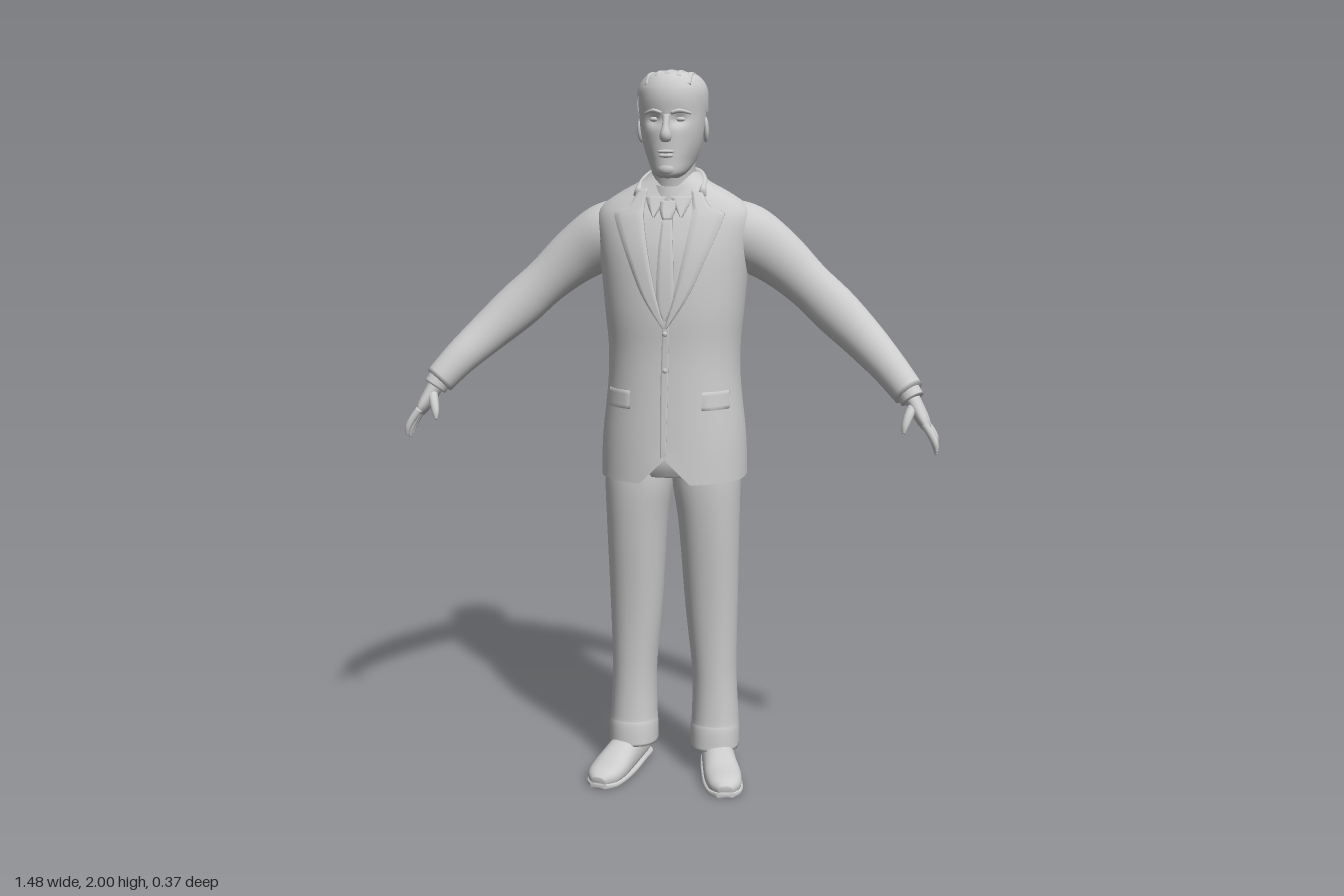
import * as THREE from 'three';

const clay = new THREE.MeshStandardMaterial({ color: 0xcccccc, side: THREE.DoubleSide });
clay.name = 'light grey';
const V = (x, y, z) => new THREE.Vector3(x, y, z);
const pw = (v, n) => Math.sign(v) * Math.abs(v) ** (2 / n);

// Catmull-Rom interpolation of every column in a list of rows
function smooth(rows, k) {
  const out = [], at = i => rows[Math.max(0, Math.min(rows.length - 1, i))];
  for (let i = 0; i < rows.length - 1; i++) for (let j = 0; j < k; j++) {
    const t = j / k, a = at(i - 1), b = at(i), c = at(i + 1), d = at(i + 2);
    out.push(b.map((v, q) => v + 0.5 * t * (c[q] - a[q] + t * (2 * a[q] - 5 * v + 4 * c[q] - d[q] + t * (3 * (v - c[q]) + d[q] - a[q])))));
  }
  out.push(rows[rows.length - 1]);
  return out;
}

// Skin closed rings of points, with optional caps; faces are turned outward
function skin(rings, capStart = true, capEnd = true) {
  const n = rings[0].length, pts = rings.flat(), idx = [];
  for (let i = 0; i < rings.length - 1; i++) for (let j = 0; j < n; j++) {
    const a = i * n + j, b = i * n + (j + 1) % n;
    idx.push(a, b, a + n, b, b + n, a + n);
  }
  const cap = (i, flip) => {
    const c = pts.length;
    pts.push(rings[i].reduce((s, p) => s.add(p), V(0, 0, 0)).divideScalar(n));
    for (let j = 0; j < n; j++) {
      const a = i * n + j, b = i * n + (j + 1) % n;
      idx.push(c, flip ? b : a, flip ? a : b);
    }
  };
  if (capStart) cap(0, true);
  if (capEnd) cap(rings.length - 1, false);
  const mid = pts.reduce((s, p) => s.add(p), V(0, 0, 0)).divideScalar(pts.length);
  let vol = 0;
  for (let i = 0; i < idx.length; i += 3) {
    const [a, b, c] = [0, 1, 2].map(q => pts[idx[i + q]].clone().sub(mid));
    vol += a.dot(b.cross(c));
  }
  if (vol < 0) idx.reverse();
  const g = new THREE.BufferGeometry().setFromPoints(pts);
  g.setIndex(idx);
  g.computeVertexNormals();
  return g;
}

// Sweep an oval along rows of [x, y, z, radiusU, radiusV]
function sweep(rows, { s = 1, ref = V(0, 0, 1), seg = 24, n = 2, floor = -1 } = {}) {
  const r = smooth(rows.map(([x, ...q]) => [x * s, ...q]), 5), P = r.map(p => V(p[0], p[1], p[2]));
  return skin(r.map((p, i) => {
    const t = P[Math.min(i + 1, r.length - 1)].clone().sub(P[Math.max(i - 1, 0)]).normalize();
    const u = t.clone().cross(ref).normalize(), v = u.clone().cross(t);
    return Array.from({ length: seg }, (_, j) => {
      const a = j / seg * Math.PI * 2;
      const q = P[i].clone().addScaledVector(u, p[3] * pw(Math.cos(a), n)).addScaledVector(v, p[4] * pw(Math.sin(a), n));
      q.y = Math.max(q.y, floor);
      return q;
    });
  }));
}

// Horizontal sections: [y, half width, front z, back z] about a centre z
const body = (rows, cz, n) => ({ rows: smooth(rows, 5), cz, n });
function section(b, y) {
  const R = b.rows;
  let i = 0;
  while (i < R.length - 2 && R[i + 1][0] < y) i++;
  const t = THREE.MathUtils.clamp((y - R[i][0]) / (R[i + 1][0] - R[i][0]), 0, 1);
  return R[i].map((v, q) => v + (R[i + 1][q] - v) * t);
}
function around(b, [y, rx, zf, zb], a, off = 0) {
  const c = pw(Math.cos(a), b.n), d = pw(Math.sin(a), b.n), cz = Math.max(b.cz, zb + 0.3 * (zf - zb));
  return V((rx + off) * c, y, cz + d * ((d > 0 ? zf - cz : cz - zb) + off));
}
const ring = (b, row, seg) => Array.from({ length: seg }, (_, j) => around(b, row, j / seg * Math.PI * 2));
function frontZ(b, x, y) {
  const [, rx, zf] = section(b, y);
  return b.cz + (zf - b.cz) * Math.max(0, 1 - Math.abs(x / rx) ** b.n) ** (1 / b.n);
}

const coat = body([
  [0.885, 0.207, 0.13, -0.175], [1.0, 0.203, 0.125, -0.165], [1.15, 0.187, 0.117, -0.157],
  [1.25, 0.185, 0.114, -0.16], [1.35, 0.194, 0.117, -0.172], [1.45, 0.203, 0.112, -0.182],
  [1.53, 0.212, 0.1, -0.184], [1.6, 0.218, 0.078, -0.175], [1.64, 0.2, 0.06, -0.162],
  [1.675, 0.15, 0.045, -0.145], [1.705, 0.095, 0.035, -0.128], [1.73, 0.066, 0.025, -0.112]], -0.05, 2.3);
const skull = body([
  [1.714, 0.024, 0.088, 0.03], [1.728, 0.045, 0.1, 0.0], [1.76, 0.064, 0.101, -0.06], [1.8, 0.078, 0.1, -0.1],
  [1.84, 0.086, 0.1, -0.115], [1.88, 0.09, 0.096, -0.123], [1.92, 0.092, 0.099, -0.124], [1.95, 0.089, 0.094, -0.119],
  [1.974, 0.075, 0.08, -0.103], [1.987, 0.055, 0.062, -0.082], [1.994, 0.02, 0.025, -0.04]], -0.015, 2.1);

// Thin plate lying on the coat front: rows of [y, x0, x1]
function plate(rows, s, off) {
  return skin(smooth(rows, 4).map(([y, x0, x1]) => {
    const xs = [0, 1, 2, 3, 4].map(i => s * (x0 + (x1 - x0) * i / 4));
    const side = o => xs.map(x => V(x, y, frontZ(coat, x, y) + o));
    return [...side(off), ...side(-0.001).reverse()];
  }));
}

export function createModel() {
  const root = new THREE.Group();
  const add = (name, geo, pos = [0, 0, 0], scale = [1, 1, 1], rot = [0, 0, 0]) => {
    const m = new THREE.Mesh(geo, clay);
    m.name = name;
    m.position.set(...pos);
    m.scale.set(...scale);
    m.rotation.set(...rot);
    root.add(m);
  };
  const ball = new THREE.SphereGeometry(1, 20, 14);

  // Jacket, with the front hem cut away at the opening
  const jacketRings = coat.rows.map(r => ring(coat, r, 64).map(p => {
    if (p.z > 0 && p.y < 0.98) p.y += 0.07 * Math.max(0, 1 - Math.abs(p.x) / 0.07) * (0.98 - p.y) / 0.095;
    else if (p.y < 0.9) p.y += 0.012 * Math.max(0, -p.z / 0.17);
    return p;
  }));
  add('jacket', skin(jacketRings, false, true));
  add('jacketOverlap', plate([[0.96, -0.012, 0.004], [1.15, -0.012, 0.008], [1.33, -0.006, 0.012]], 1, 0.003));
  for (const y of [1.3, 1.2]) add('jacketButton', ball, [0, y, frontZ(coat, 0, y) + 0.003], [0.007, 0.007, 0.004]);

  // Neck, shirt collar, jacket collar and tie
  add('neck', sweep([[0, 1.62, -0.035, 0.066, 0.07], [0, 1.7, -0.028, 0.06, 0.072], [0, 1.76, -0.02, 0.06, 0.075], [0, 1.82, -0.015, 0.06, 0.075]]));
  const band = (y, r, lift) => Array.from({ length: 40 }, (_, j) => {
    const a = j / 40 * Math.PI * 2;
    return V(r * Math.cos(a), y - lift * Math.sin(a), -0.03 + (r + 0.014) * Math.sin(a));
  });
  add('shirtCollar', skin([band(1.65, 0.074, 0.03), band(1.715, 0.066, 0.025), band(1.716, 0.06, 0.025)], false, false));
  const collar = [[0.088, 1.665, 0.035], [0.083, 1.695, -0.035], [0.056, 1.718, -0.088], [0, 1.724, -0.11]];
  const collarPath = [...collar, ...collar.slice(0, 3).reverse().map(([x, y, z]) => [-x, y, z])];
  add('jacketCollar', sweep(collarPath.map(p => [...p, 0.012, 0.022]), { ref: V(0, 1, 0) }));
  add('tie', plate([[1.335, 0, 0.001], [1.38, -0.022, 0.022], [1.5, -0.021, 0.021], [1.61, -0.013, 0.013]], 1, 0.006));
  add('tieKnot', plate([[1.605, -0.012, 0.012], [1.63, -0.021, 0.021], [1.655, -0.02, 0.02]], 1, 0.013));

  // Trouser seat
  add('trouserSeat', sweep([[0, 0.895, -0.015, 0.12, 0.1], [0, 0.94, -0.015, 0.17, 0.115], [0, 1.02, -0.015, 0.17, 0.11]], { n: 2.4 }));

  for (const s of [1, -1]) {
    const side = s > 0 ? 'left' : 'right';
    add(side + 'Lapel', plate([[1.315, 0, 0.006], [1.4, 0.024, 0.062], [1.5, 0.046, 0.106], [1.6, 0.064, 0.146], [1.625, 0.066, 0.146], [1.64, 0.066, 0.11], [1.685, 0.06, 0.085]], s, 0.008));
    add(side + 'CollarPoint', plate([[1.61, 0.036, 0.04], [1.64, 0.018, 0.055], [1.665, 0.006, 0.064]], s, 0.009));
    add(side + 'PocketFlap', plate([[1.09, 0.1, 0.168], [1.14, 0.1, 0.168]], s, 0.006));

    // Sleeve and shirt cuff
    add(side + 'Sleeve', sweep([
      [0.13, 1.575, -0.07, 0.085, 0.085], [0.2, 1.55, -0.072, 0.092, 0.088], [0.285, 1.497, -0.068, 0.079, 0.068],
      [0.37, 1.425, -0.058, 0.066, 0.056], [0.45, 1.353, -0.042, 0.066, 0.056], [0.53, 1.28, -0.008, 0.058, 0.052],
      [0.6, 1.212, 0.04, 0.049, 0.046], [0.655, 1.15, 0.073, 0.043, 0.044]], { s, seg: 32 }));
    add(side + 'Cuff', sweep([[0.645, 1.165, 0.068, 0.034, 0.037], [0.665, 1.133, 0.08, 0.033, 0.036]], { s }));

    // Hand
    add(side + 'Palm', sweep([[0.655, 1.15, 0.074, 0.022, 0.028], [0.675, 1.115, 0.083, 0.021, 0.033], [0.695, 1.08, 0.09, 0.018, 0.038], [0.705, 1.06, 0.094, 0.012, 0.034]], { s }));
    for (let i = 0; i < 4; i++) {
      const z = 0.064 + i * 0.02, d = [0.018, 0.004, 0, 0.01][i];
      add(side + 'Finger', sweep([
        [0.698, 1.075, z, 0.01, 0.01], [0.718, 1.042 + d * 0.4, z + i * 0.002, 0.01, 0.0095],
        [0.729, 1.015 + d * 0.8, z + i * 0.003, 0.0085, 0.0085], [0.732, 0.992 + d, z + i * 0.003, 0.004, 0.004]], { s, seg: 12 }));
    }
    add(side + 'Thumb', sweep([[0.668, 1.12, 0.095, 0.014, 0.014], [0.656, 1.095, 0.118, 0.013, 0.013], [0.648, 1.07, 0.132, 0.01, 0.01], [0.645, 1.05, 0.138, 0.004, 0.004]], { s, seg: 12 }));

    // Trouser leg and shoe
    add(side + 'TrouserLeg', sweep([
      [0.096, 0.97, -0.017, 0.094, 0.105], [0.097, 0.88, -0.015, 0.096, 0.11], [0.104, 0.75, -0.02, 0.086, 0.103],
      [0.11, 0.5, -0.037, 0.075, 0.088], [0.118, 0.3, -0.045, 0.064, 0.081], [0.121, 0.16, -0.045, 0.068, 0.082],
      [0.121, 0.12, -0.041, 0.071, 0.084], [0.121, 0.07, -0.037, 0.071, 0.083]], { s, seg: 36, n: 2.2 }));
    const shoe = [
      [0.12, 0.035, -0.123, 0.025, 0.03], [0.123, 0.047, -0.1, 0.045, 0.048], [0.13, 0.052, -0.03, 0.046, 0.054],
      [0.146, 0.044, 0.04, 0.049, 0.046], [0.164, 0.032, 0.1, 0.053, 0.035], [0.177, 0.026, 0.152, 0.045, 0.028], [0.183, 0.02, 0.18, 0.02, 0.016]];
    add(side + 'Shoe', sweep(shoe, { s, ref: V(0, 1, 0), seg: 28, n: 2.3, floor: 0.004 }));
    add(side + 'Sole', sweep(shoe.map(([x, , z, w]) => [x, z > -0.05 && z < 0.02 ? 0.014 : 0.009, z, w + 0.004, 0.009]), { s, ref: V(0, 1, 0), n: 4, floor: 0 }));

    // Ear, eye and brow
    add(side + 'Ear', ball, [s * 0.088, 1.843, -0.022], [0.009, 0.035, 0.02], [0.15, s * 0.3, 0]);
    add(side + 'Eye', ball, [s * 0.034, 1.868, 0.075], [0.014, 0.007, 0.009]);
    add(side + 'Brow', sweep([[0.012, 1.884, 0.092, 0.005, 0.008], [0.035, 1.89, 0.086, 0.006, 0.009], [0.06, 1.884, 0.066, 0.004, 0.006]], { s, seg: 10 }));
  }

  // Head, with shallow eye sockets pressed in
  const headRings = skull.rows.map(r => ring(skull, r, 56).map(p => {
    if (p.z > 0) p.z -= 0.014 * Math.exp(-(((Math.abs(p.x) - 0.033) / 0.018) ** 2) - ((p.y - 1.866) / 0.014) ** 2);
    return p;
  }));
  add('head', skin(headRings));
  add('nose', sweep([[0, 1.88, 0.093, 0.009, 0.007], [0, 1.85, 0.1, 0.01, 0.014], [0, 1.825, 0.105, 0.016, 0.019], [0, 1.813, 0.1, 0.013, 0.01]], { seg: 16 }));
  add('upperLip', ball, [0, 1.784, 0.098], [0.024, 0.005, 0.007]);
  add('lowerLip', ball, [0, 1.773, 0.098], [0.02, 0.006, 0.007]);
  add('chin', ball, [0, 1.738, 0.088], [0.024, 0.018, 0.016]);

  // Hair shell, from a hairline that drops at the nape
  const hair = Array.from({ length: 15 }, (_, i) => Array.from({ length: 56 }, (_, j) => {
    const a = j / 56 * Math.PI * 2, f = Math.sin(a);
    const line = f > 0 ? 1.885 + 0.065 * Math.min(1, f * 1.5) : 1.885 - 0.1 * Math.min(1, -f * 1.4);
    const p = around(skull, section(skull, line + (1.994 - line) * Math.sin(i / 14 * Math.PI / 2)), a, 0.004);
    p.y += 0.003 * i / 14;
    return p;
  }));
  add('hair', skin(hair, false, true));

  // Combed strands over the crown
  const crown = (x, z) => {
    let y = 1.994;
    for (; y > 1.9; y -= 0.001) {
      const [, rx, zf, zb] = section(skull, y), c = (zf + zb) / 2;
      if ((x / rx) ** 2 + ((z - c) / (zf - c)) ** 2 < 1) break;
    }
    return y;
  };
  for (const x of [-0.052, -0.026, 0, 0.026, 0.052]) {
    const path = [0.07, 0.045, 0.01, -0.03, -0.065, -0.09].map(z => [x, crown(x, z), z, 0.01, 0.006]);
    add('hairStrand', sweep(path, { ref: V(0, 1, 0), seg: 10 }));
  }
  return root;
}
